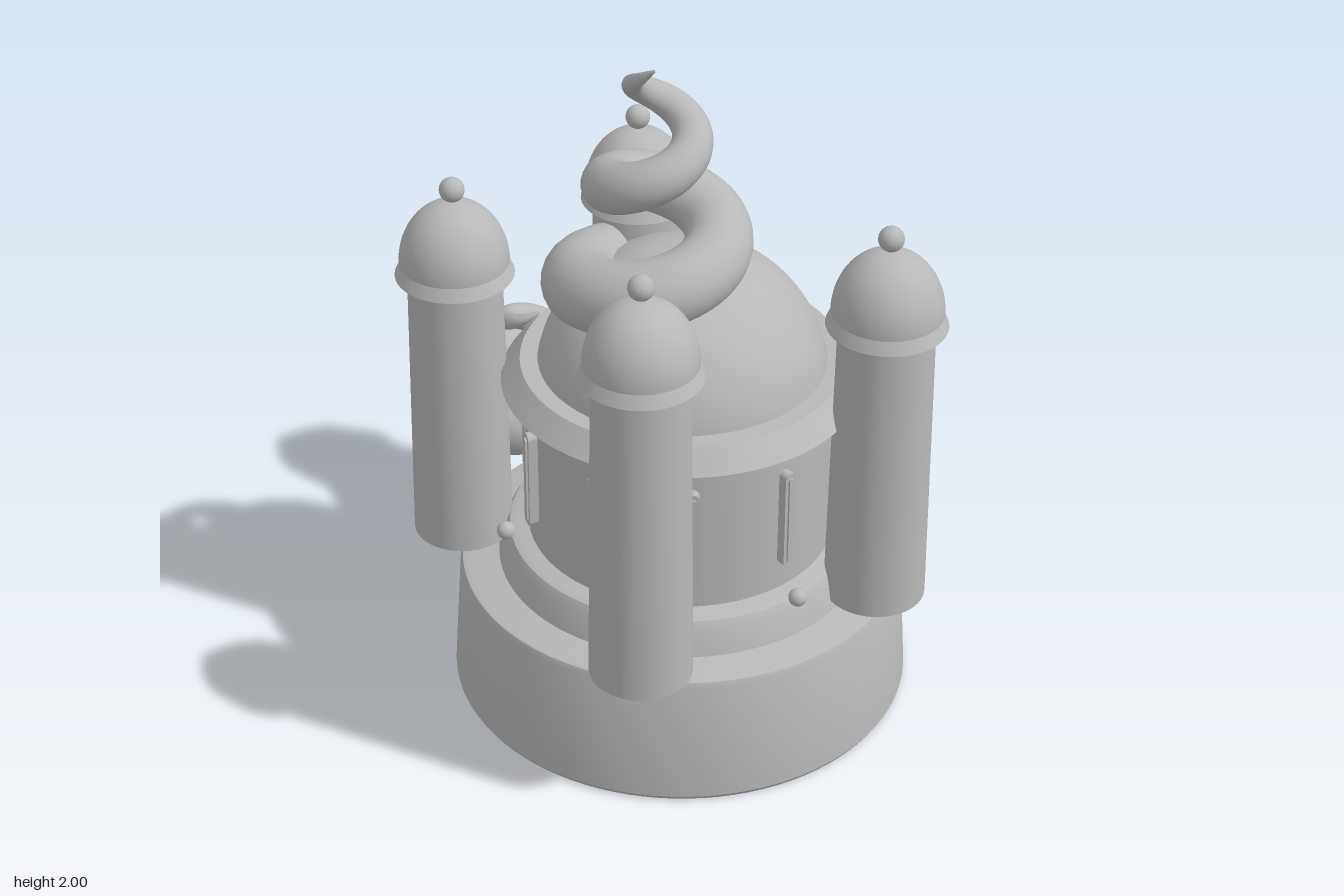
import * as THREE from 'three';
import { toCreasedNormals } from 'three/addons/utils/BufferGeometryUtils.js';

const CX = 0.185; // axis of the palace
const stone = new THREE.MeshStandardMaterial({ color: 0xb8b8b8 });
stone.name = 'grey stone';

function add(parent, name, geometry, x = 0, y = 0, z = 0) {
  const mesh = new THREE.Mesh(geometry, stone);
  mesh.name = name;
  mesh.position.set(x, y, z);
  parent.add(mesh);
  return mesh;
}

// Turned solid from [radius, height] pairs, bottom to top
function turned(points, segments = 64) {
  const profile = points.map(([r, y]) => new THREE.Vector2(r, y));
  return toCreasedNormals(new THREE.LatheGeometry(profile, segments), 0.5);
}

// Upright panel with a round top (and optionally a round foot), facing +z
function archPanel(width, height, depth, roundFoot) {
  const r = width / 2;
  const s = new THREE.Shape();
  if (roundFoot) s.absarc(0, r, r, Math.PI, Math.PI * 2, false);
  else s.moveTo(-r, 0).lineTo(r, 0);
  s.lineTo(r, height - r);
  s.absarc(0, height - r, r, 0, Math.PI, false);
  s.closePath();
  return new THREE.ExtrudeGeometry(s, { depth, bevelEnabled: false, curveSegments: 12 });
}

// Narrowing spiral: outer reach and height change evenly with the angle
class Spiral extends THREE.Curve {
  constructor(o) {
    super();
    this.o = o;
  }
  thickness(t) {
    return Math.max(0.004, this.o.tube * Math.pow(Math.max(0, 1 - t), 0.62));
  }
  getPoint(t, target = new THREE.Vector3()) {
    const { x, z, y0, y1, r0, r1, turn } = this.o;
    const a = Math.PI - turn * t;
    const r = Math.max(0.02, r0 + (r1 - r0) * t - this.thickness(t));
    return target.set(x + r * Math.cos(a), y0 + (y1 - y0) * t, z + r * Math.sin(a));
  }
}

function swirl(parent, name, options) {
  const group = new THREE.Group();
  group.name = name;
  const curve = new Spiral(options);
  curve.arcLengthDivisions = 600;
  const segs = 200, sides = 24;
  const geo = new THREE.TubeGeometry(curve, segs, 1, sides, false);
  const pos = geo.attributes.position;
  const v = new THREE.Vector3();
  for (let i = 0; i <= segs; i++) {
    const u = i / segs;
    const c = curve.getPointAt(u);
    const r = curve.thickness(curve.getUtoTmapping(u));
    for (let j = 0; j <= sides; j++) {
      const k = i * (sides + 1) + j;
      v.fromBufferAttribute(pos, k).sub(c).multiplyScalar(r).add(c);
      pos.setXYZ(k, v.x, v.y, v.z);
    }
  }
  add(group, name + 'Body', geo);
  // flat cut at the thick end
  const start = curve.getPointAt(0);
  const cap = add(group, name + 'End', new THREE.CircleGeometry(options.tube, sides), start.x, start.y, start.z);
  cap.quaternion.setFromUnitVectors(new THREE.Vector3(0, 0, 1), curve.getTangentAt(0).negate());
  parent.add(group);
}

// Tower with flared collar, dome and ball; collar is the height of the collar's lower edge
function tower(parent, name, x, z, collar) {
  const group = new THREE.Group();
  group.name = name;
  group.position.set(x, 0, z);
  add(group, 'towerShaft', turned([[0, 0.435], [0.145, 0.435], [0.134, collar + 0.01], [0, collar + 0.01]], 40));
  add(group, 'towerCollar', turned([[0, collar], [0.169, collar], [0.148, collar + 0.045], [0, collar + 0.045]], 40));
  const dome = new THREE.SphereGeometry(0.156, 40, 16, 0, Math.PI * 2, 0, Math.PI / 2);
  dome.scale(1, 1.19, 1);
  add(group, 'towerDome', dome, 0, collar + 0.04, 0);
  add(group, 'towerDomeUnderside', turned([[0, collar + 0.04], [0.156, collar + 0.04]], 40));
  add(group, 'towerBall', new THREE.SphereGeometry(0.036, 20, 14), 0, collar + 0.267, 0);
  parent.add(group);
}

export function createModel() {
  const model = new THREE.Group();
  model.name = 'palace';

  // Round base, step, drum and cornice
  add(model, 'base', turned([[0, 0], [0.664, 0], [0.671, 0.012], [0.647, 0.385], [0.641, 0.399], [0.625, 0.405], [0, 0.405]], 96), CX);
  add(model, 'step', turned([[0, 0.4], [0.535, 0.4], [0.512, 0.485], [0.5, 0.505], [0.475, 0.515], [0, 0.515]], 80), CX);
  add(model, 'drum', turned([[0, 0.5], [0.445, 0.5], [0.445, 1.03], [0, 1.03]], 80), CX);
  add(model, 'cornice', turned([[0, 1.005], [0.515, 1.005], [0.46, 1.07], [0, 1.07]], 80), CX);
  add(model, 'mainDome', new THREE.SphereGeometry(0.417, 64, 24, 0, Math.PI * 2, 0, Math.PI * 0.46), CX, 0.993, 0);

  // Ten slit windows around the drum
  for (let i = 0; i < 10; i++) {
    const a = (i / 10) * Math.PI * 2;
    const holder = new THREE.Group();
    holder.name = 'window';
    holder.position.set(CX, 0.6, 0);
    holder.rotation.y = a + Math.PI / 2;
    add(holder, 'windowFrame', archPanel(0.038, 0.315, 0.04, true), 0, 0, 0.432);
    add(holder, 'windowPane', archPanel(0.018, 0.285, 0.008, true), 0, 0.015, 0.47);
    model.add(holder);
  }

  // Arched door at the back
  const door = add(model, 'door', archPanel(0.23, 0.41, 0.06, false), CX, 0.51, -0.405);
  door.rotation.y = Math.PI;

  // Six beads on the step
  for (let i = 0; i < 6; i++) {
    const a = (i / 6) * Math.PI * 2;
    add(model, 'bead', new THREE.SphereGeometry(0.027, 18, 12), CX + 0.515 * Math.cos(a), 0.515, 0.515 * Math.sin(a));
  }

  // Four towers of different heights
  tower(model, 'frontLeftTower', 0.59, 0.48, 1.405);
  tower(model, 'frontRightTower', -0.272, 0.453, 1.3);
  tower(model, 'backLeftTower', 0.722, -0.275, 1.328);
  tower(model, 'backRightTower', -0.354, -0.275, 1.245);

  // Swirl on the dome and the smaller one at the side
  swirl(model, 'domeSwirl', {
    x: 0.13, z: 0.05, y0: 1.26, y1: 2.0, r0: 0.34, r1: 0.067, tube: 0.115, turn: Math.PI * 4.75,
  });
  swirl(model, 'sideSwirl', {
    x: -0.625, z: -0.058, y0: 0.43, y1: 0.825, r0: 0.285, r1: 0.065, tube: 0.106, turn: Math.PI * 5,
  });
  return model;
}
